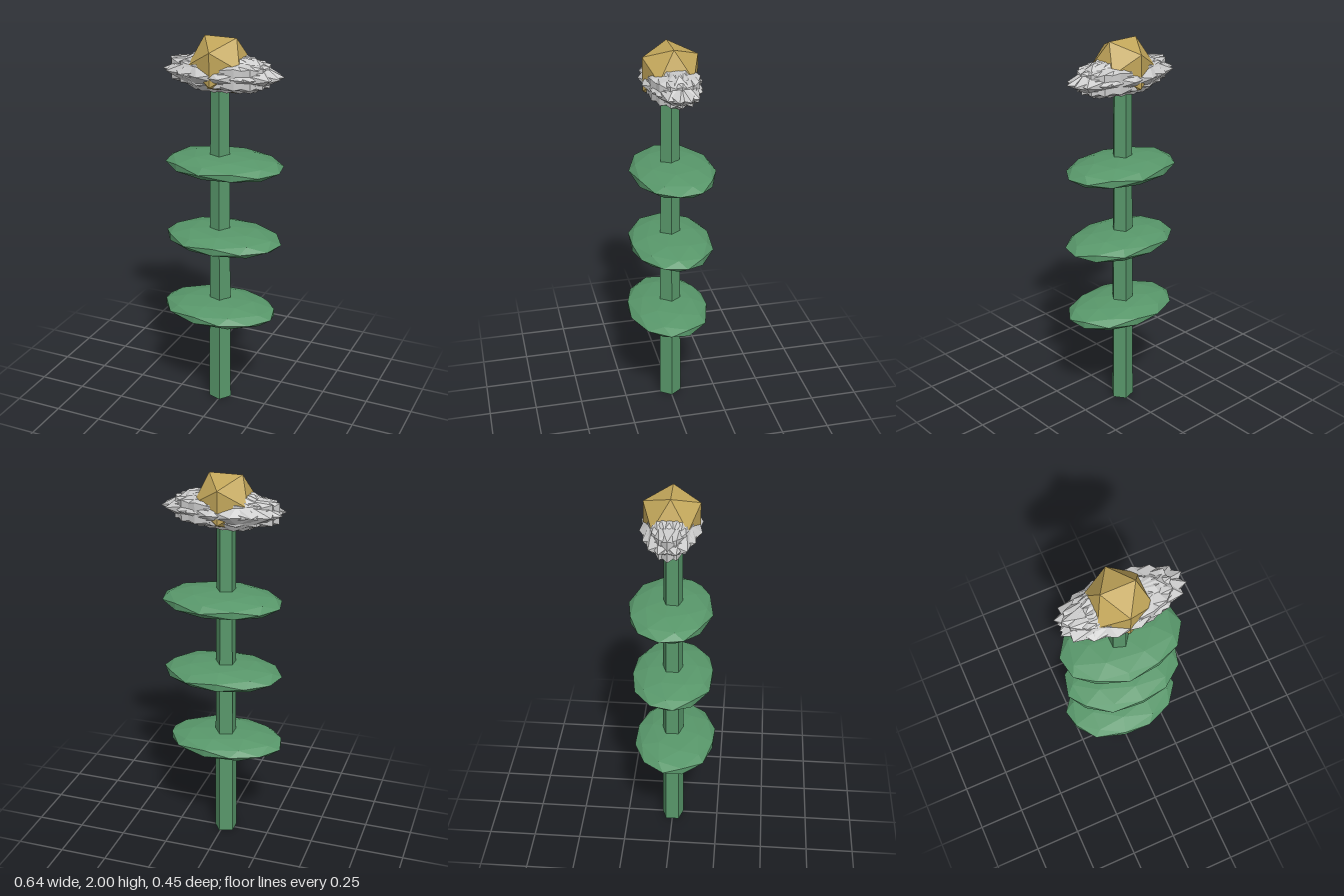
import * as THREE from 'three';

const material = (color) => new THREE.MeshStandardMaterial({ color, flatShading: true });
const green = material(0x58976a);
const gold = material(0xc2a65a);
const grey = material(0xcccccc);

function addPart(parent, name, geometry, mat, x, y, z) {
  const mesh = new THREE.Mesh(geometry, mat);
  mesh.name = name;
  mesh.position.set(x, y, z);
  parent.add(mesh);
}

// Icosahedron turned about y first, then stretched, so its long axis stays on x
const stretchedBall = (detail, turn, sx, sy, sz) =>
  new THREE.IcosahedronGeometry(1, detail).rotateY(turn).scale(sx, sy, sz);

export function createModel() {
  const model = new THREE.Group();
  model.name = 'flower';
  const cx = -0.012;

  // Five-sided tapering stem with one edge towards +x
  const stem = new THREE.CylinderGeometry(0.049, 0.062, 1.8, 5).rotateY(Math.PI / 2);
  addPart(model, 'stem', stem, green, cx, 0.9, 0);

  // Three flat oval leaves threaded on the stem
  const leaves = [
    { y: 0.55, x: -0.01, z: 0.014, turn: -0.75 },
    { y: 0.95, x: 0.005, z: 0, turn: -0.45 },
    { y: 1.35, x: 0.005, z: -0.012, turn: -0.15 },
  ];
  for (const { x, y, z, turn } of leaves) {
    addPart(model, 'leaf', stretchedBall(1, turn, 0.315, 0.06, 0.218), green, x, y, z);
  }

  // Spiky blossom: overlapping stretched icosahedra, each turned a little further
  const petals = new THREE.Group();
  petals.name = 'petals';
  petals.position.set(-0.004, 1.825, -0.005);
  model.add(petals);
  const count = 8;
  for (let i = 0; i < count; i++) {
    const a = (i / count) * Math.PI * 2;
    addPart(petals, 'petal', stretchedBall(0, (i * Math.PI) / count, 0.312, 0.1, 0.145), grey,
      0.014 * Math.cos(a), 0, 0.008 * Math.sin(a));
  }

  // Faceted heart of the blossom
  addPart(model, 'flowerCentre', new THREE.IcosahedronGeometry(0.161, 0), gold, cx, 1.863, -0.004);

  return model;
}
